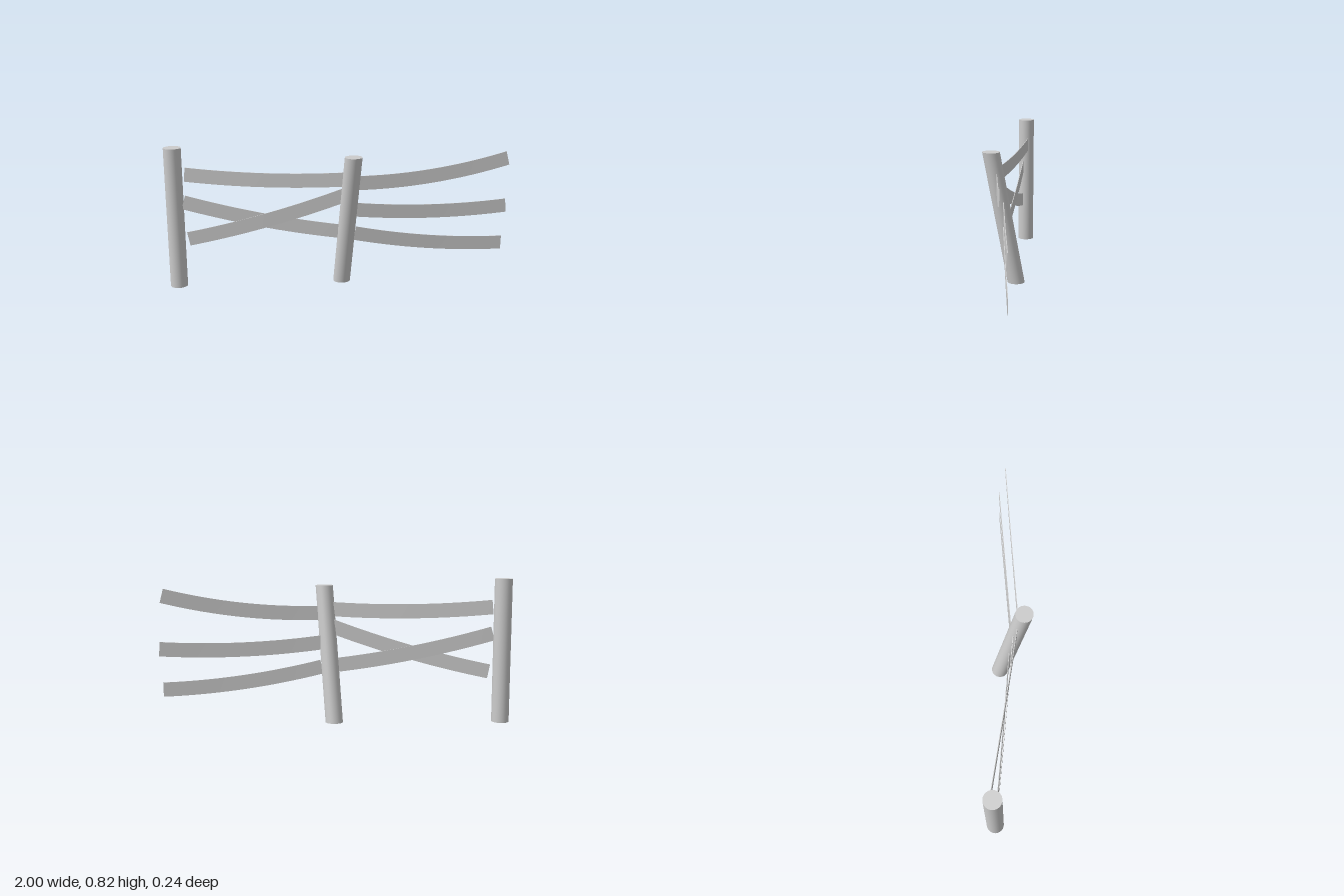
import * as THREE from 'three';

const RAIL_WIDTH = 0.082;
const RAIL_THICKNESS = 0.004;
const POST_RADIUS = 0.05;

const material = new THREE.MeshStandardMaterial({ color: 0xcccccc });

// Round post, sheared so that its ends stay level when it leans
function makePost(name, height, [x0, z0], [x1, z1]) {
  const geometry = new THREE.CylinderGeometry(POST_RADIUS, POST_RADIUS, height, 32);
  geometry.translate(0, height / 2, 0);
  const shear = new THREE.Matrix4().set(
    1, (x1 - x0) / height, 0, x0,
    0, 1, 0, 0,
    0, (z1 - z0) / height, 1, z0,
    0, 0, 0, 1
  );
  geometry.applyMatrix4(shear);
  const post = new THREE.Mesh(geometry, material);
  post.name = name;
  return post;
}

// Thin plank bent along a sagging curve, its ends cut square to the curve
function makeRail(name, start, end, sag) {
  const a = new THREE.Vector3(...start);
  const b = new THREE.Vector3(...end);
  const control = a.clone().add(b).multiplyScalar(0.5);
  control.y -= 2 * sag;
  const curve = new THREE.QuadraticBezierCurve3(a, control, b);

  const geometry = new THREE.BoxGeometry(1, RAIL_WIDTH, RAIL_THICKNESS, 20, 1, 1);
  const position = geometry.attributes.position;
  for (let i = 0; i < position.count; i++) {
    const t = position.getX(i) + 0.5;
    const point = curve.getPoint(t);
    const tangent = curve.getTangent(t);
    const slope = Math.atan2(tangent.y, tangent.x);
    const v = position.getY(i);
    position.setXYZ(
      i,
      point.x - Math.sin(slope) * v,
      point.y + Math.cos(slope) * v,
      point.z + position.getZ(i)
    );
  }
  geometry.computeVertexNormals();
  const rail = new THREE.Mesh(geometry, material);
  rail.name = name;
  return rail;
}

export function createModel() {
  const fence = new THREE.Group();
  fence.name = 'brokenFence';

  fence.add(
    makePost('uprightPost', 0.825, [-0.95, -0.07], [-0.95, -0.07]),
    makePost('leaningPost', 0.78, [0.01, -0.07], [0.065, 0.07])
  );

  // Rails between the two posts, one of them slipped across another
  fence.add(
    makeRail('innerTopRail', [-0.89, 0.665, -0.083], [0.04, 0.645, 0.035], 0.019),
    makeRail('innerMiddleRail', [-0.9, 0.51, -0.052], [0.03, 0.32, -0.01], 0.02),
    makeRail('innerSlippedRail', [-0.88, 0.29, -0.052], [0.03, 0.55, 0.01], 0.02)
  );

  // Rails with free ends beyond the leaning post
  fence.add(
    makeRail('outerTopRail', [0.1, 0.622, 0.035], [0.985, 0.73, -0.057], 0.03),
    makeRail('outerMiddleRail', [0.08, 0.455, -0.002], [0.997, 0.432, -0.098], 0.022),
    makeRail('outerBottomRail', [0.08, 0.313, -0.002], [0.98, 0.2, -0.098], 0.024)
  );

  return fence;
}
